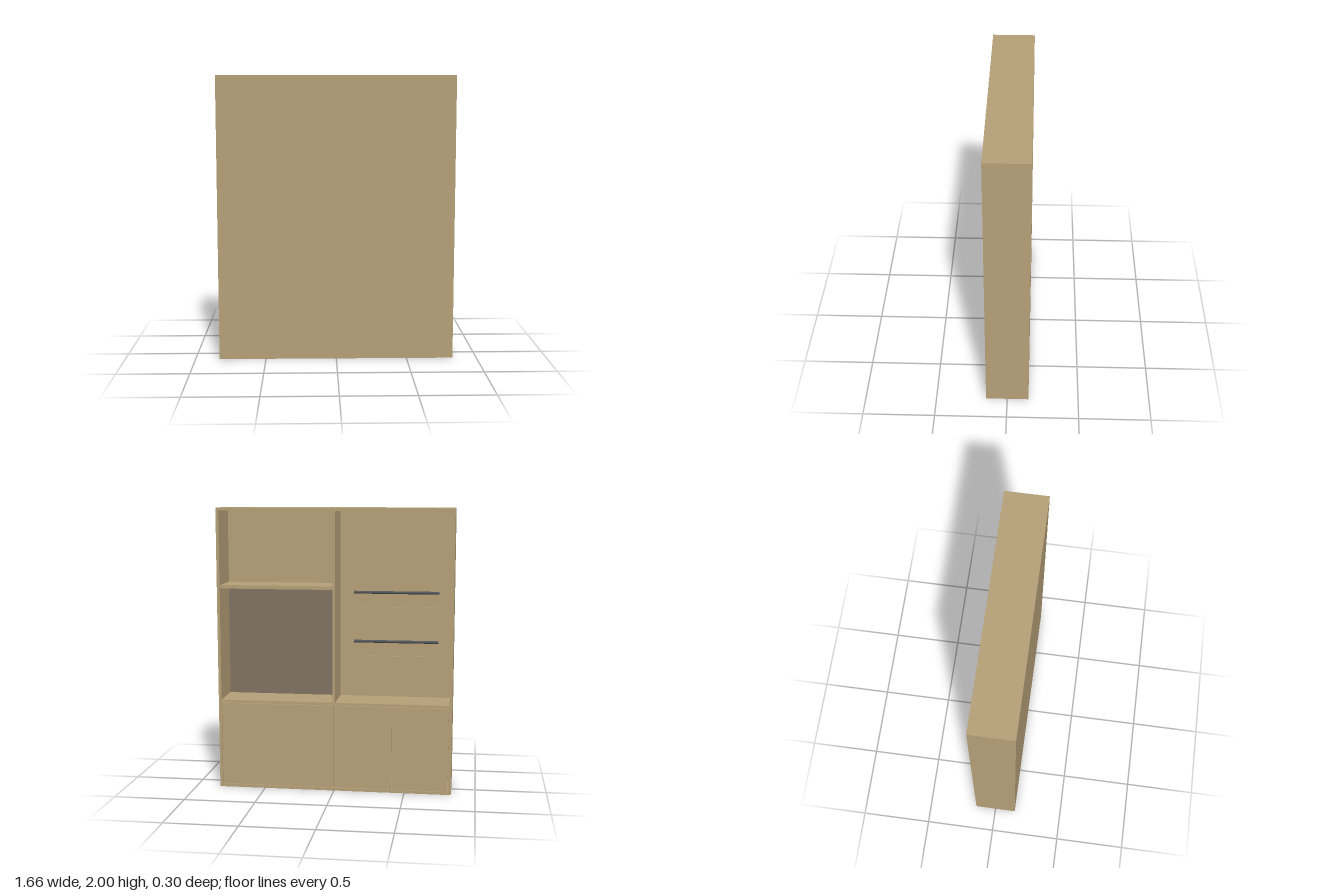
import * as THREE from 'three';

export function createModel() {
  const model = new THREE.Group();
  model.name = 'wallCabinet';

  const oak = new THREE.MeshStandardMaterial({ color: 0xb59f78 });
  oak.name = 'oak';
  const taupe = new THREE.MeshStandardMaterial({ color: 0x817262 });
  taupe.name = 'taupe panel';
  const metal = new THREE.MeshStandardMaterial({ color: 0x50555a });
  metal.name = 'dark metal';

  // Board given by its limits on each axis
  function board(name, [x0, x1], [y0, y1], [z0, z1], material = oak) {
    const mesh = new THREE.Mesh(new THREE.BoxGeometry(x1 - x0, y1 - y0, z1 - z0), material);
    mesh.position.set((x0 + x1) / 2, (y0 + y1) / 2, (z0 + z1) / 2);
    mesh.name = name;
    model.add(mesh);
    return mesh;
  }

  const W = 0.83, T = 0.02, IN = W - T; // half width, board thickness, inner half width
  const BACK = -0.15, WALL = 0.13, FRONT = 0.15;
  const depth = [BACK, WALL];

  // Two large front panels and the two sides
  for (const s of [-1, 1]) {
    const name = s > 0 ? 'left' : 'right';
    board(name + 'FrontPanel', s > 0 ? [0.001, W] : [-W, -0.001], [0, 2], [WALL, FRONT]);
    board(name + 'Side', s > 0 ? [IN, W] : [-W, -IN], [0, 2], depth);
  }

  // Carcass: top, bottom, worktop and centre dividers
  board('topBoard', [-IN, IN], [2 - T, 2], depth);
  board('bottomBoard', [-IN, IN], [0, T], depth);
  board('worktop', [-IN, IN], [0.62, 0.64], depth);
  board('upperDivider', [-0.01, 0.01], [0.64, 2 - T], depth);
  board('lowerDivider', [-0.01, 0.01], [T, 0.62], [BACK + T, WALL]);

  // Upper shelf, set back a little, and the darker niche panel below it
  board('upperShelf', [0.01, IN], [1.435, 1.46], [BACK + 0.02, WALL]);
  board('nichePanel', [0.01, IN], [0.64, 1.435], [WALL - 0.004, WALL], taupe);

  // Cupboard doors under the worktop, with narrow gaps
  const gap = 0.003;
  for (const [a, b] of [[0, IN], [-0.41, 0], [-IN, -0.41]]) {
    board('cupboardDoor', [a + gap, b - gap], [T + gap, 0.62 - gap], [BACK, BACK + T]);
  }

  // Two display ledges with a raised lip, each with a rod above
  const ledge = [-0.72, -0.115];
  for (const y of [0.89, 1.243]) {
    board('ledgeBase', ledge, [y, y + 0.015], [0.08, WALL]);
    board('ledgeLip', ledge, [y, y + 0.055], [0.07, 0.08]);
    const rod = new THREE.Mesh(
      new THREE.CylinderGeometry(0.01, 0.01, ledge[1] - ledge[0], 16), metal);
    rod.rotation.z = Math.PI / 2;
    rod.position.set((ledge[0] + ledge[1]) / 2, y + 0.157, 0.09);
    rod.name = 'ledgeRod';
    model.add(rod);
  }

  return model;
}
